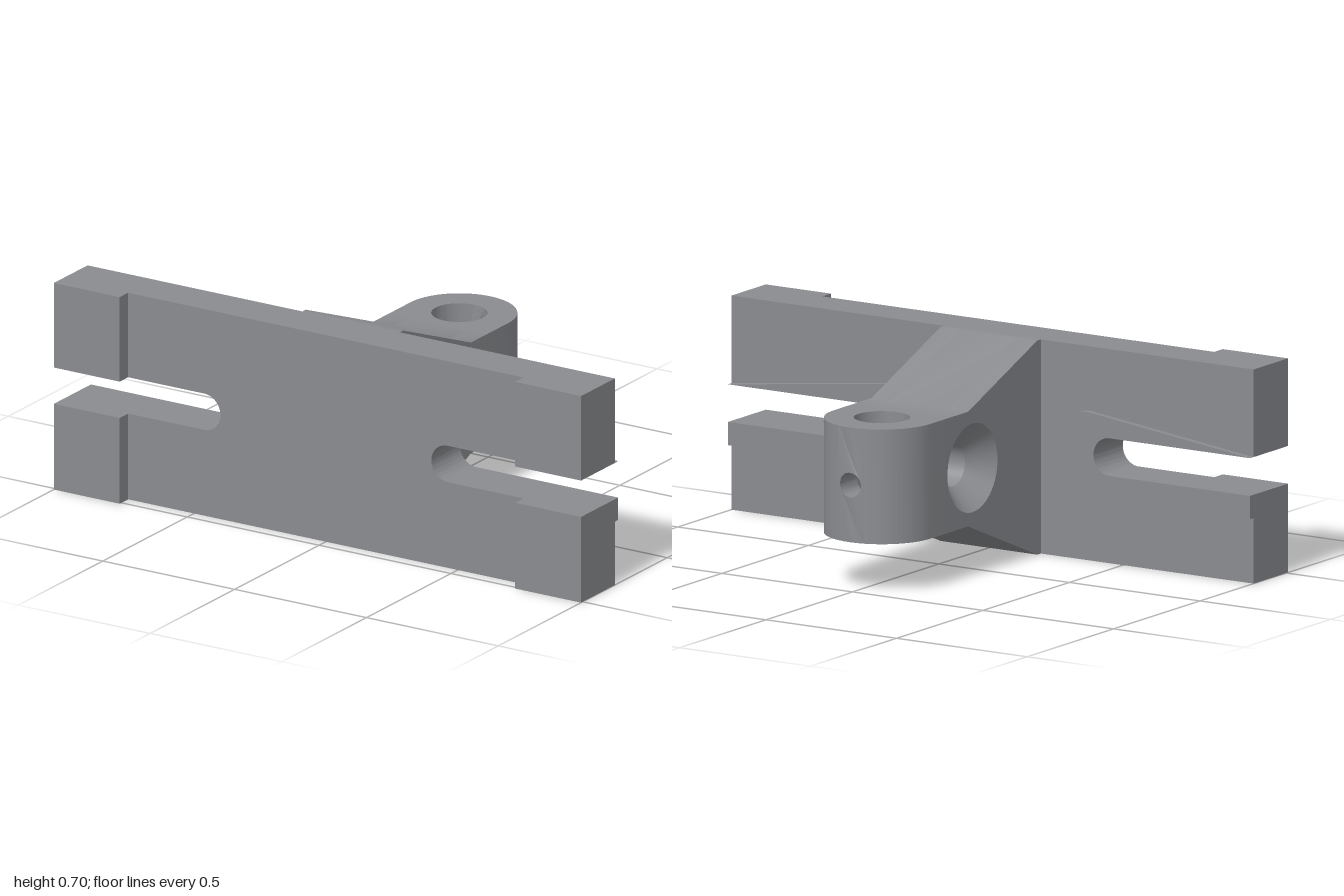
import * as THREE from 'three';
import { toCreasedNormals } from 'three/addons/utils/BufferGeometryUtils.js';

const CY = 0.352; // height of the centre line

export function createModel() {
  const group = new THREE.Group();
  const steel = new THREE.MeshStandardMaterial({ color: 0x8a8c90, side: THREE.DoubleSide });

  const add = (name, geometry) => {
    const mesh = new THREE.Mesh(geometry, steel);
    mesh.name = name;
    group.add(mesh);
    return mesh;
  };
  const extrude = (shape, depth) =>
    new THREE.ExtrudeGeometry(shape, { depth, bevelEnabled: false, curveSegments: 24 });
  const crease = (geometry) => toCreasedNormals(geometry, 0.6);
  const polygon = (points) => new THREE.Shape(points.map(([x, y]) => new THREE.Vector2(x, y)));
  const circle = (x, y, r) => new THREE.Path().absarc(x, y, r, 0, Math.PI * 2, true);

  // Cross plate with an open round-ended slot at each end
  const slotR = 0.0615, slotX = 0.4 + slotR, half = Math.PI / 2;
  const plate = new THREE.Shape();
  plate.moveTo(-1, 0);
  plate.lineTo(1, 0);
  plate.lineTo(1, CY - slotR);
  plate.absarc(slotX, CY, slotR, -half, half, true);
  plate.lineTo(1, CY + slotR);
  plate.lineTo(1, 0.7);
  plate.lineTo(-1, 0.7);
  plate.lineTo(-1, CY + slotR);
  plate.absarc(-slotX, CY, slotR, half, -half, true);
  plate.lineTo(-1, CY - slotR);
  add('crossPlate', crease(extrude(plate, 0.15).translate(0, 0, 0.31)));

  // Raised rims behind the slots, and the end pads in front
  const rimR = 0.1375, rimX = 0.24 + rimR;
  const rim = new THREE.Shape();
  rim.moveTo(1, CY + rimR);
  rim.absarc(rimX, CY, rimR, half, half * 3, false);
  rim.lineTo(1, CY - rimR);
  rim.lineTo(1, CY - slotR);
  rim.absarc(slotX, CY, slotR, half * 3, half, true);
  rim.lineTo(1, CY + slotR);
  const padH = CY - slotR, topH = 0.7 - CY - slotR;
  for (const s of [1, -1]) {
    const rimGeo = crease(extrude(rim, 0.02).translate(0, 0, -0.01));
    if (s < 0) rimGeo.rotateY(Math.PI);
    add('slotRim', rimGeo.translate(0, 0, 0.3));
    add('lowerPad', new THREE.BoxGeometry(0.25, padH, 0.05).translate(s * 0.875, padH / 2, 0.485));
    add('upperPad', new THREE.BoxGeometry(0.25, topH, 0.05).translate(s * 0.875, 0.7 - topH / 2, 0.485));
  }

  // Tapered arm in three slabs: narrow bore in the middle, countersinks outside
  const armW = 0.185, coreW = 0.11, boreR = 0.07, sinkR = 0.145, boreZ = -0.085;
  const armSlab = (name, x0, x1, r) => {
    const side = polygon([[-0.312, 0], [-0.29, 0], [0.11, 0.165], [0.235, 0.165],
      [0.235, 0.54], [0.11, 0.54], [-0.29, 0.7], [-0.312, 0.7]]);
    side.holes.push(circle(-boreZ, CY, r));
    add(name, crease(extrude(side, x1 - x0).rotateY(half).translate(x0, 0, 0)));
  };
  armSlab('armCore', -coreW, coreW, boreR);
  armSlab('armLeftSide', coreW, armW, sinkR);
  armSlab('armRightSide', -armW, -coreW, sinkR);
  for (const s of [1, -1]) {
    add('countersink', new THREE.CylinderGeometry(sinkR, boreR, armW - coreW, 48, 1, true)
      .rotateZ(-s * half).translate(s * (armW + coreW) / 2, CY, boreZ));
  }

  // Rounded arm head around the upright hole, open at the tip for the drilled piece
  const eyeR = 0.09, eyeZ = -0.33, gap = 0.05, y0 = 0.165, headH = 0.375;
  const a = Math.acos(gap / armW), b = Math.acos(gap / eyeR);
  const head = new THREE.Shape();
  head.moveTo(-armW, 0.235);
  head.lineTo(armW, 0.235);
  head.absarc(0, -eyeZ, armW, 0, a, false);
  head.absarc(0, -eyeZ, eyeR, b, Math.PI - b, true);
  head.absarc(0, -eyeZ, armW, Math.PI - a, Math.PI, false);
  add('armHead', crease(extrude(head, headH).rotateX(-half).translate(0, y0, 0)));

  // Tip of the head with a small cross hole, bent to the inner and outer arcs
  const xs = [-1, -0.5, 0, 0.5, 1].map((t) => t * gap);
  const tip = polygon([...xs.map((x) => [x, y0]), ...xs.slice().reverse().map((x) => [x, y0 + headH])]);
  tip.holes.push(circle(0, CY, 0.04));
  const tipGeo = extrude(tip, 1);
  const p = tipGeo.attributes.position;
  for (let i = 0; i < p.count; i++) {
    const r = p.getZ(i) > 0.5 ? eyeR : armW;
    p.setZ(i, eyeZ - Math.sqrt(r * r - p.getX(i) ** 2));
  }
  add('armTip', crease(tipGeo));

  return group;
}
